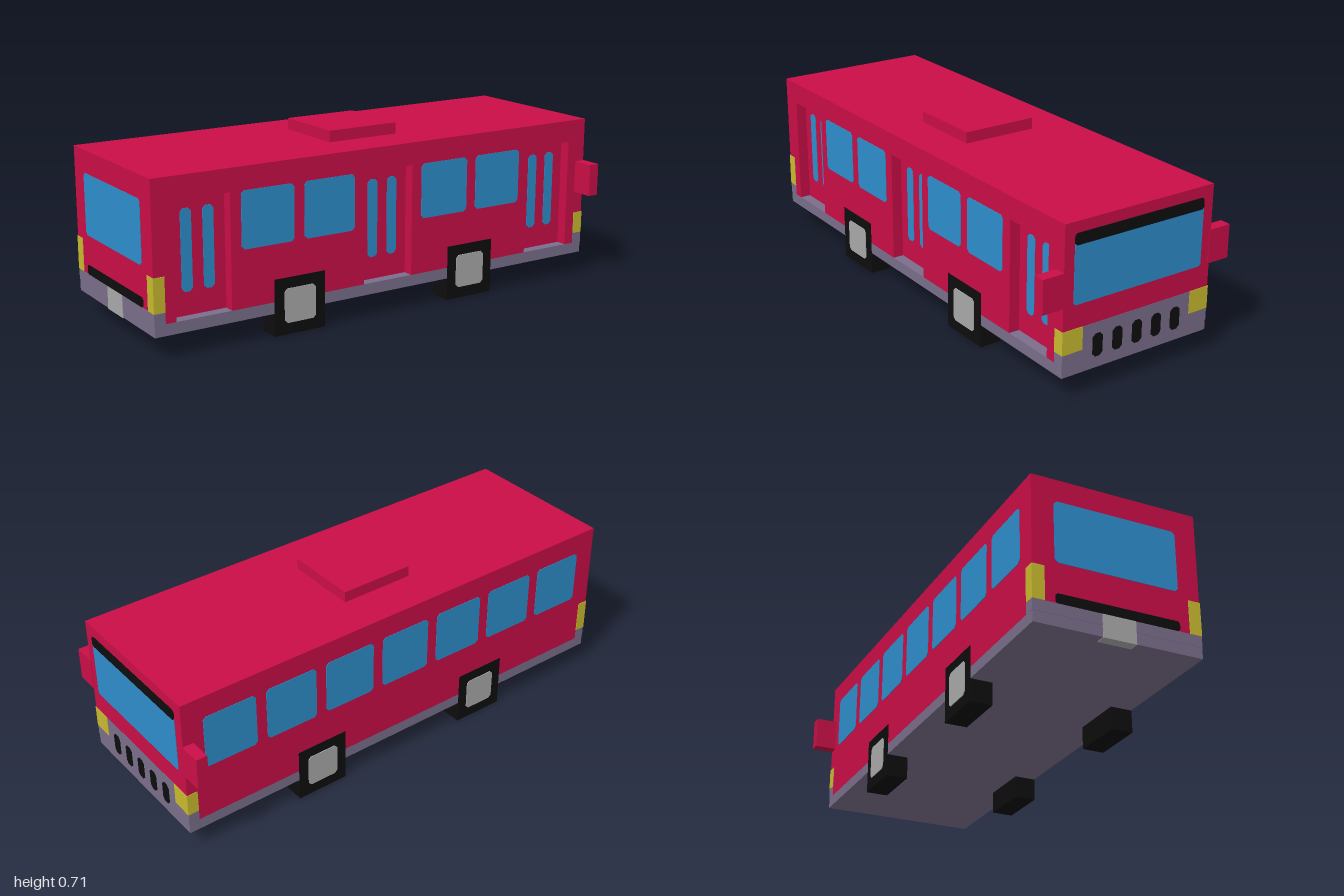
import * as THREE from 'three';

const mat = (name, color) => new THREE.MeshStandardMaterial({ name, color });

export function createModel() {
  const red = mat('red paint', 0xca0e47);
  const blue = mat('blue glass', 0x2e8ecd);
  const grey = mat('purple grey trim', 0x7a6e8b);
  const yellow = mat('yellow lamp', 0xc9bb2f);
  const black = mat('black rubber', 0x0d0d0d);
  const silver = mat('light grey metal', 0xaaaaaa);

  const bus = new THREE.Group();
  bus.name = 'bus';
  const L = 0.998, W = 0.332; // half length and half width of the shell

  // Box given by its limits on each axis
  function box(name, material, [x0, x1], [y0, y1], [z0, z1]) {
    const m = new THREE.Mesh(new THREE.BoxGeometry(x1 - x0, y1 - y0, z1 - z0), material);
    m.position.set((x0 + x1) / 2, (y0 + y1) / 2, (z0 + z1) / 2);
    m.name = name;
    bus.add(m);
    return m;
  }

  // Thin plate with cut corners, lying on a wall turned by angle at distance d
  function panel(name, material, angle, d, u, w, y0, y1, c = 0.012) {
    const h = w / 2;
    const s = new THREE.Shape([
      [-h + c, y0], [h - c, y0], [h, y0 + c], [h, y1 - c],
      [h - c, y1], [-h + c, y1], [-h, y1 - c], [-h, y0 + c],
    ].map(([x, y]) => new THREE.Vector2(x + u, y)));
    const g = new THREE.ExtrudeGeometry(s, { depth: 0.004, bevelEnabled: false });
    g.translate(0, 0, d - 0.002).rotateY(angle);
    const m = new THREE.Mesh(g, material);
    m.name = name;
    bus.add(m);
  }
  const DOOR_SIDE = 0, FAR_SIDE = Math.PI, NOSE = Math.PI / 2, TAIL = -Math.PI / 2;

  // Shell: solid core plus an outer skin with three door openings
  const doors = [-0.8, 0, 0.8], inner = 0.288;
  box('bodyCore', red, [-L, L], [0.135, 0.667], [-W, inner]);
  const skin = new THREE.Shape();
  skin.moveTo(-L, 0.135);
  for (const x of doors) {
    skin.lineTo(x - 0.112, 0.135);
    skin.lineTo(x - 0.112, 0.578);
    skin.lineTo(x + 0.112, 0.578);
    skin.lineTo(x + 0.112, 0.135);
  }
  skin.lineTo(L, 0.135);
  skin.lineTo(L, 0.667);
  skin.lineTo(-L, 0.667);
  const skinMesh = new THREE.Mesh(
    new THREE.ExtrudeGeometry(skin, { depth: W - inner, bevelEnabled: false }), red);
  skinMesh.position.z = inner;
  skinMesh.name = 'doorSideWall';
  bus.add(skinMesh);

  // Skirt and bumpers
  box('skirt', grey, [-L, L], [0.09, 0.135], [-W, W]);
  box('frontBumper', grey, [0.955, L + 0.001], [0.134, 0.267], [-W - 0.001, W + 0.001]);
  box('rearBumper', grey, [-L - 0.001, -0.955], [0.134, 0.178], [-W - 0.001, W + 0.001]);

  // Roof unit
  box('roofUnit', red, [-0.155, 0.155], [0.66, 0.712], [-0.155, 0.155]);

  // Door windows, set into the recesses
  for (const x of doors)
    for (const s of [-1, 1])
      panel('doorWindow', blue, DOOR_SIDE, inner, x + s * 0.0445, 0.044, 0.224, 0.534);

  // Side windows
  for (const x of [-0.533, -0.267, 0.267, 0.533])
    panel('sideWindow', blue, DOOR_SIDE, W, x, 0.222, 0.358, 0.578);
  for (let i = -3; i <= 3; i++)
    panel('sideWindow', blue, FAR_SIDE, W, i * 0.2667, 0.222, 0.358, 0.578);

  // Nose: windscreen, dark header and grille slots
  panel('windscreen', blue, NOSE, L, 0, 0.578, 0.358, 0.59, 0.008);
  panel('windscreenHeader', black, NOSE, L + 0.001, 0, 0.578, 0.58, 0.624, 0.008);
  for (let i = -2; i <= 2; i++)
    panel('grilleSlot', black, NOSE, L + 0.001, i * 0.089, 0.044, 0.135, 0.224);

  // Tail: window, dark bar and plate
  panel('rearWindow', blue, TAIL, L, 0, 0.49, 0.335, 0.578);
  panel('rearBar', black, TAIL, L, 0, 0.49, 0.178, 0.216, 0.008);
  box('rearPlate', silver, [-1, -0.96], [0.088, 0.178], [-0.066, 0.066]);

  // Parts mirrored on both sides
  for (const s of [-1, 1]) {
    const z = (a, b) => (s > 0 ? [a, b] : [-b, -a]);
    box('mirror', red, [0.955, 1], [0.358, 0.49], z(0.325, 0.422));
    box('headlamp', yellow, [0.955, 1], [0.178, 0.268], z(0.245, 0.334));
    box('tailLamp', yellow, [-1, -0.955], [0.178, 0.311], z(0.285, 0.334));
    for (const x of [-0.4, 0.4]) {
      box('tyre', black, [x - 0.11, x + 0.11], [0, 0.222], z(0.245, 0.334));
      panel('wheelRim', silver, s > 0 ? DOOR_SIDE : FAR_SIDE, 0.335, x * s, 0.136, 0.045, 0.18);
    }
  }
  return bus;
}
